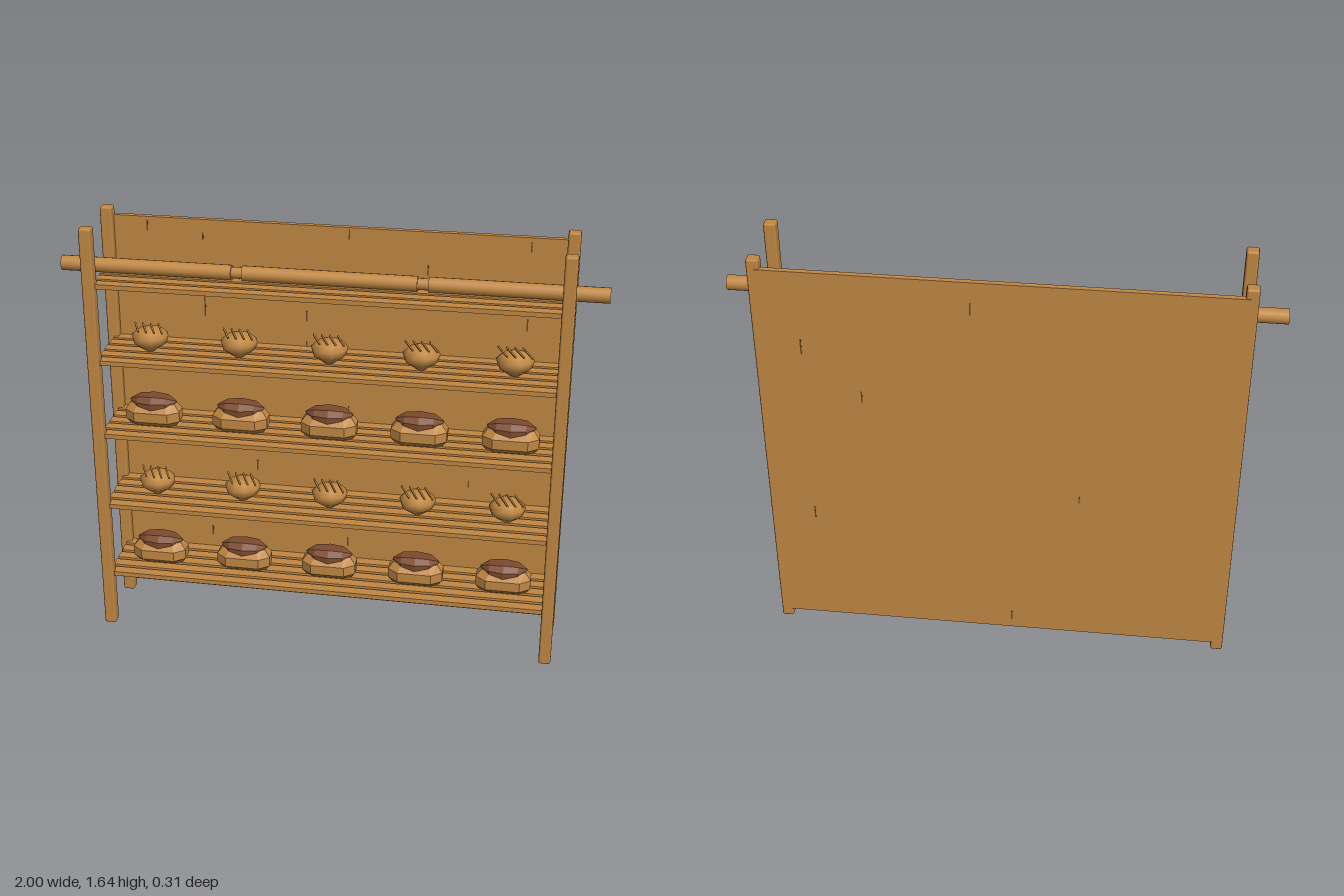
import * as THREE from 'three';
import { RoundedBoxGeometry } from 'three/addons/geometries/RoundedBoxGeometry.js';

const material = (name, color, extra = {}) => {
  const m = new THREE.MeshStandardMaterial({ color, ...extra });
  m.name = name;
  return m;
};

// Closed skin over a row of equal-length rings of [x, y, z] points
function loft(rings, flat) {
  const n = rings[0].length, pos = rings.flat(2), idx = [];
  const last = rings.length - 1;
  for (let i = 0; i < last; i++) {
    for (let j = 0; j < n; j++) {
      const a = i * n + j, b = i * n + (j + 1) % n;
      idx.push(a, a + n, b, b, a + n, b + n);
    }
  }
  for (let j = 1; j < n - 1; j++) {
    idx.push(0, j, j + 1);
    idx.push(last * n, last * n + j + 1, last * n + j);
  }
  let g = new THREE.BufferGeometry();
  g.setAttribute('position', new THREE.Float32BufferAttribute(pos, 3));
  g.setIndex(idx);
  if (flat) g = g.toNonIndexed();
  g.computeVertexNormals();
  return g;
}

// Chamfered rectangle ring, ordered from +x towards +z
const octagon = ([y, w, d]) => [[1, 0.45], [0.62, 1], [-0.62, 1], [-1, 0.45],
  [-1, -0.45], [-0.62, -1], [0.62, -1], [1, -0.45]].map(([x, z]) => [x * w, y, z * d]);

const ellipse = ([y, w, d], n = 10) => Array.from({ length: n }, (_, i) => {
  const a = (i / n) * Math.PI * 2;
  return [Math.cos(a) * w, y, Math.sin(a) * d];
});

// Hexagonal slice of the loaf crust at a given x
const crustSlice = ([x, s]) => [[0.022, 0.028], [0.022, -0.028], [0, -0.05],
  [-0.026, -0.05], [-0.026, 0.05], [0, 0.05]].map(([y, z]) => [x, 0.094 + y * s, z * s]);

export function createModel() {
  const wood = material('golden wood', 0xc08743);
  const crustBrown = material('dark crust', 0x7d4a2e);
  const grain = material('dark grain', 0x6e4522);

  const root = new THREE.Group();
  root.name = 'breadRack';
  const add = (parent, name, geo, mat, x = 0, y = 0, z = 0) => {
    const m = new THREE.Mesh(geo, mat);
    m.name = name;
    m.position.set(x, y, z);
    parent.add(m);
    return m;
  };

  // Corner posts with chamfered edges
  const postGeo = new RoundedBoxGeometry(0.046, 1.64, 0.046, 1, 0.008);
  for (const x of [-0.86, 0.86]) {
    for (const z of [-0.13, 0.13]) add(root, z > 0 ? 'frontPost' : 'backPost', postGeo, wood, x, 0.82, z);
  }

  // Back panel
  add(root, 'backPanel', new THREE.BoxGeometry(1.71, 1.565, 0.021), wood, 0, 0.8225, -0.1455);

  // Short grain cracks: x, y, length
  const frontGrain = [[-0.71, 1.57, 0.04], [-0.5, 1.54, 0.03], [-0.5, 1.29, 0.13], [-0.31, 1.08, 0.05],
    [-0.11, 1.25, 0.04], [-0.11, 1.13, 0.04], [0.05, 1.58, 0.04], [0.34, 1.46, 0.04],
    [0.71, 1.57, 0.04], [0.71, 1.27, 0.05], [0.52, 1.02, 0.03], [0.35, 0.74, 0.04],
    [0.05, 0.87, 0.04], [-0.31, 0.61, 0.04], [-0.5, 0.3, 0.04], [-0.5, 0.08, 0.06],
    [-0.71, 0.14, 0.04], [0.52, 0.6, 0.03], [0.72, 0.15, 0.05], [0.05, 0.3, 0.04]];
  const backGrain = [[0.71, 1.3, 0.06], [0.5, 1.1, 0.05], [0.71, 0.55, 0.05],
    [0.1, 1.5, 0.05], [-0.05, 0.1, 0.04], [-0.3, 0.7, 0.03]];
  for (const [list, z] of [[frontGrain, -0.1345], [backGrain, -0.1565]]) {
    for (const [x, y, h] of list) add(root, 'grainMark', new THREE.BoxGeometry(0.005, h, 0.002), grain, x, y, z);
  }

  // Slatted shelves
  const slatGeo = new THREE.BoxGeometry(1.71, 0.018, 0.042);
  for (let s = 0; s < 5; s++) {
    const shelf = new THREE.Group();
    shelf.name = 'shelf';
    shelf.position.y = 0.219 + s * 0.3;
    for (let i = -2; i <= 2; i++) add(shelf, 'slat', slatGeo, wood, 0, 0, i * 0.0575);
    root.add(shelf);
  }

  // Long rod in three lengths with narrower joints
  const rod = new THREE.Group();
  rod.name = 'topRod';
  rod.position.y = 1.455;
  for (const [a, b, r] of [[-1, -0.36, 0.028], [-0.36, -0.32, 0.021], [-0.32, 0.32, 0.028],
    [0.32, 0.36, 0.021], [0.36, 1, 0.028]]) {
    const g = new THREE.CylinderGeometry(r, r, b - a, 16).rotateZ(Math.PI / 2);
    add(rod, r > 0.025 ? 'rodLength' : 'rodJoint', g, wood, (a + b) / 2);
  }
  root.add(rod);

  // Loaves with dark crusts and scored buns on alternate shelves
  const loafGeo = loft([[0, 0.088, 0.035], [0.022, 0.105, 0.057],
    [0.06, 0.105, 0.057], [0.088, 0.085, 0.035]].map(octagon), true);
  const crustGeo = loft([[-0.09, 0.08], [-0.055, 0.8], [0, 1], [0.055, 0.8], [0.09, 0.08]].map(crustSlice), true);
  const bunGeo = loft([[0, 0.015, 0.02], [0.033, 0.062, 0.062], [0.062, 0.07, 0.067],
    [0.08, 0.05, 0.05], [0.09, 0.02, 0.025]].map((r) => ellipse(r)), false);
  const scoreGeo = new THREE.BoxGeometry(0.006, 0.005, 0.1).rotateY(0.4);
  for (let s = 0; s < 4; s++) {
    for (let i = -2; i <= 2; i++) {
      const bread = new THREE.Group();
      bread.position.set(i * 0.34, 0.228 + s * 0.3, 0);
      if (s % 2 === 0) {
        bread.name = 'loaf';
        add(bread, 'loafBody', loafGeo, wood);
        add(bread, 'loafCrust', crustGeo, crustBrown);
      } else {
        bread.name = 'bun';
        add(bread, 'bunBody', bunGeo, wood);
        for (let k = 0; k < 4; k++) add(bread, 'bunScore', scoreGeo, wood, -0.045 + k * 0.03, 0.095, 0.018);
      }
      root.add(bread);
    }
  }
  return root;
}
